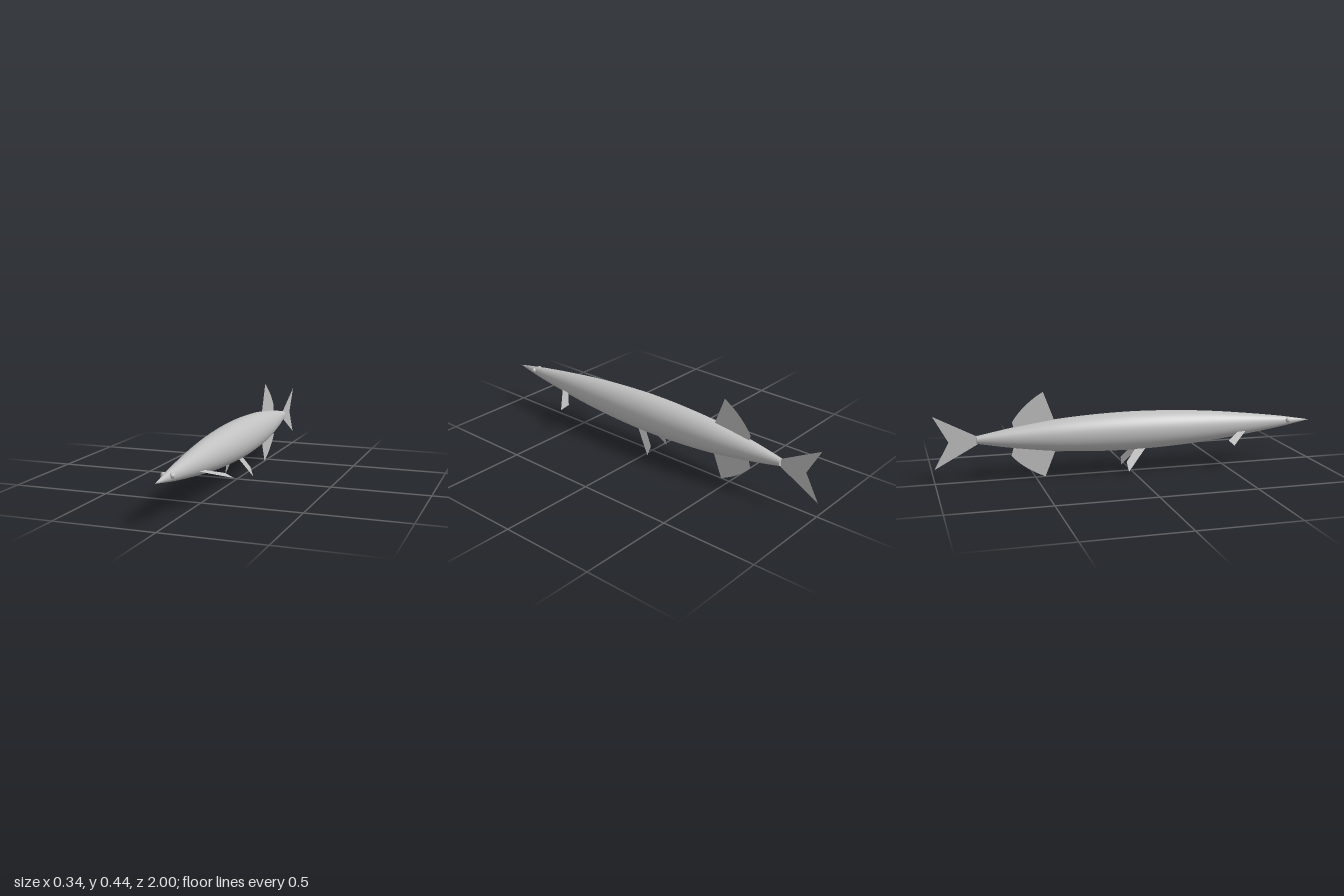
import * as THREE from 'three';

const AXIS_Y = 0.211;

export function createModel() {
  const model = new THREE.Group();
  model.name = 'slenderFish';
  const skin = new THREE.MeshStandardMaterial({ color: 0xc0c0c0, side: THREE.DoubleSide });
  skin.name = 'plain grey';

  const add = (name, geometry) => {
    const mesh = new THREE.Mesh(geometry, skin);
    mesh.name = name;
    model.add(mesh);
    return mesh;
  };

  // Flat fin: a 2D outline whose points are placed in space by a rule
  const addFin = (name, shape, place) => {
    const geometry = new THREE.ShapeGeometry(shape, 10);
    const p = geometry.attributes.position;
    for (let i = 0; i < p.count; i++) p.setXYZ(i, ...place(p.getX(i), p.getY(i)));
    geometry.computeVertexNormals();
    return add(name, geometry);
  };
  const outline = (pts) => new THREE.Shape(pts.map(([u, v]) => new THREE.Vector2(u, v)));
  const upright = (z, y) => [0, y, z];

  // Spindle body: smooth profile of [half height, z], narrowed sideways
  const profile = new THREE.SplineCurve([
    [0.019, -0.79], [0.036, -0.7], [0.053, -0.6], [0.08, -0.4], [0.094, -0.2], [0.099, 0],
    [0.094, 0.2], [0.081, 0.4], [0.06, 0.6], [0.034, 0.8], [0.018, 0.9], [0, 1],
  ].map(([r, z]) => new THREE.Vector2(r, z))).getPoints(60);
  profile.forEach((p) => { p.x = Math.max(p.x, 0); });
  const body = new THREE.LatheGeometry(profile, 48);
  body.rotateX(Math.PI / 2).scale(0.9, 1, 1).translate(0, AXIS_Y, 0);
  add('body', body);

  // Flat stub closing the tail end
  const cap = new THREE.CircleGeometry(0.019, 48);
  cap.rotateY(Math.PI).scale(0.9, 1, 1).translate(0, AXIS_Y, -0.79);
  add('tailStub', cap);

  // Forked tail
  addFin('tailFin', outline([
    [-0.78, 0.225], [-1, 0.34], [-0.927, 0.207], [-1, 0.073], [-0.78, 0.192],
  ]), upright);

  // Dorsal and anal fins with a rounded rear edge
  const dorsal = new THREE.Shape();
  dorsal.moveTo(-0.39, 0.26);
  dorsal.lineTo(-0.455, 0.436);
  dorsal.quadraticCurveTo(-0.56, 0.375, -0.613, 0.29);
  dorsal.lineTo(-0.6, 0.23);
  addFin('dorsalFin', dorsal, upright);

  const anal = new THREE.Shape();
  anal.moveTo(-0.385, 0.16);
  anal.lineTo(-0.45, 0);
  anal.quadraticCurveTo(-0.555, 0.045, -0.62, 0.118);
  anal.lineTo(-0.6, 0.19);
  addFin('analFin', anal, upright);

  for (const [label, side] of [['left', 1], ['right', -1]]) {
    // Pectoral fins sweep back and droop outwards (outline in z, x)
    addFin(label + 'PectoralFin', outline([
      [0.62, 0.04], [0.505, 0.168], [0.493, 0.12], [0.578, 0.04],
    ]), (z, x) => [side * x, 0.178 - (x - 0.05) * 0.36, z]);

    // Pelvic fins splay below the belly (outline in z, y)
    addFin(label + 'PelvicFin', outline([
      [0.075, 0.13], [-0.032, 0.012], [-0.04, 0.06], [0.02, 0.13],
    ]), (z, y) => [side * (0.035 + (0.12 - y) * 0.39), y, z]);

    // Eyes
    const eye = add(label + 'Eye', new THREE.SphereGeometry(0.0135, 20, 14));
    eye.position.set(side * 0.02, 0.218, 0.87);
  }

  return model;
}
